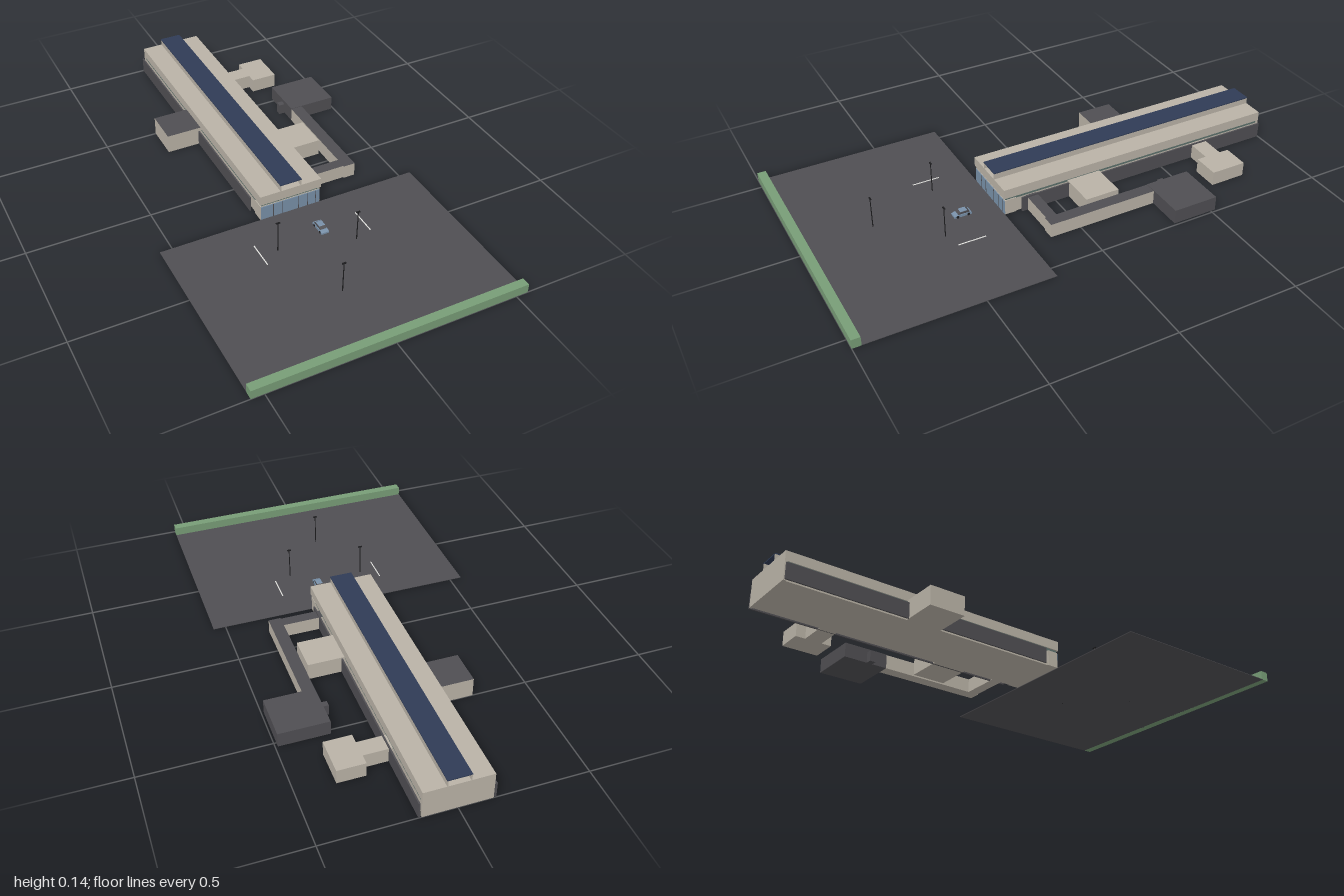
import * as THREE from 'three';

const mat = (name, color, side = THREE.FrontSide) => {
  const m = new THREE.MeshStandardMaterial({ color, side });
  m.name = name;
  return m;
};

export function createModel() {
  const root = new THREE.Group();
  root.name = 'terminalBuilding';
  const stone = mat('warm stone', 0xb9b2a6);
  const dark = mat('dark grey', 0x4f4e52);
  const navy = mat('navy roof', 0x2f3b55);
  const green = mat('hedge green', 0x779c76);
  const glass = mat('blue glass', 0x7890a8);
  const teal = mat('window band', 0x5d716c);
  const black = mat('lamp black', 0x1c1c1e);
  const white = mat('line white', 0xe4e4e0);

  // Box given by its limits; top may carry its own material
  const box = (name, x0, x1, y0, y1, z0, z1, m, top) => {
    const geo = new THREE.BoxGeometry(x1 - x0, y1 - y0, z1 - z0);
    const mesh = new THREE.Mesh(geo, top ? [m, m, top, m, m, m] : m);
    mesh.position.set((x0 + x1) / 2, (y0 + y1) / 2, (z0 + z1) / 2);
    mesh.name = name;
    root.add(mesh);
    return mesh;
  };

  // Forecourt
  box('carPark', -0.55, 0.55, 0, 0.002, 0.22, 0.97, dark);
  box('hedge', -0.55, 0.55, 0, 0.038, 0.965, 1, green);
  for (const s of [-1, 1]) box('parkingLine', s * 0.22 - 0.002, s * 0.22 + 0.002, 0.002, 0.004, 0.345, 0.46, white);

  // Long hall
  box('hallBase', -0.126, 0.126, 0, 0.075, -0.998, 0.17, stone);
  box('entranceBlock', -0.13, 0.13, 0, 0.065, 0.17, 0.217, stone);
  box('upperHall', -0.132, 0.132, 0.075, 0.115, -1, 0.222, stone);
  box('entranceSoffit', -0.126, 0.126, 0.065, 0.075, 0.17, 0.215, teal);
  box('rearWall', -0.132, 0.132, 0, 0.075, -1, -0.99, stone);
  box('entranceGlass', -0.128, 0.128, 0.002, 0.062, 0.217, 0.22, glass);
  for (const x of [-0.075, -0.035, 0.035, 0.075, 0.11])
    box('mullion', x - 0.001, x + 0.001, 0.002, 0.062, 0.22, 0.2215, dark);

  for (const s of [-1, 1]) {
    const side = (name, a, b, ...rest) => box(name, Math.min(s * a, s * b), Math.max(s * a, s * b), ...rest);
    side('sideScreen', 0.137, 0.143, 0, 0.065, -0.998, 0.15, dark);
    side('windowBand', 0.126, 0.129, 0.064, 0.075, -0.99, 0.17, teal);
    side('roofLightWall', 0.042, 0.045, 0.115, 0.141, -1, 0.222, stone);
  }
  box('roofLightTop', -0.046, 0.046, 0.14, 0.144, -1, 0.222, navy);

  // Side wings
  box('leftWing', -0.28, -0.126, 0, 0.08, -0.5, -0.35, stone, dark);
  box('nearWing', 0.126, 0.278, 0, 0.07, -0.205, -0.06, stone);
  box('rearLink', 0.126, 0.24, 0, 0.06, -0.72, -0.65, stone);
  box('rearWing', 0.24, 0.35, 0, 0.06, -0.76, -0.61, stone);

  // Bent corridor leading to the annex
  box('corridorLink', 0.126, 0.29, 0, 0.058, 0.08, 0.125, stone, dark);
  box('corridor', 0.29, 0.34, 0, 0.058, -0.33, 0.13, stone, dark);
  box('annex', 0.29, 0.49, 0, 0.06, -0.52, -0.33, dark);
  box('serviceTank', 0.265, 0.29, 0, 0.045, -0.42, -0.395, dark);

  // Street lamps
  for (const [x, z] of [[-0.15, 0.405], [0.147, 0.48], [-0.04, 0.7]]) {
    const pole = new THREE.Mesh(new THREE.CylinderGeometry(0.0018, 0.0022, 0.134, 8), black);
    pole.position.set(x, 0.067, z);
    pole.name = 'lampPole';
    root.add(pole);
    box('lampHead', x - 0.008, x + 0.008, 0.132, 0.136, z - 0.003, z + 0.003, black);
  }

  // Parked car: side profiles extruded across its width
  const profile = (name, pts, w, m) => {
    const shape = new THREE.Shape(pts.map(([z, y]) => new THREE.Vector2(z, y)));
    const geo = new THREE.ExtrudeGeometry(shape, { depth: w, bevelEnabled: false });
    geo.translate(0, 0, -w / 2).rotateY(-Math.PI / 2);
    const mesh = new THREE.Mesh(geo, m);
    mesh.position.set(0.053, 0.002, 0.369);
    mesh.name = name;
    root.add(mesh);
  };
  profile('carBody', [[-0.037, 0.003], [0.037, 0.003], [0.037, 0.01], [0.022, 0.014], [-0.034, 0.014], [-0.037, 0.01]], 0.032, glass);
  profile('carCabin', [[-0.03, 0.014], [0.02, 0.014], [0.01, 0.023], [-0.02, 0.023]], 0.027, dark);
  profile('carRoof', [[-0.02, 0.023], [0.01, 0.023], [0.008, 0.0245], [-0.018, 0.0245]], 0.025, glass);
  for (const dx of [-0.014, 0.014]) for (const dz of [-0.023, 0.023]) {
    const wheel = new THREE.Mesh(new THREE.CylinderGeometry(0.006, 0.006, 0.005, 12).rotateZ(Math.PI / 2), black);
    wheel.position.set(0.053 + dx, 0.008, 0.369 + dz);
    wheel.name = 'carWheel';
    root.add(wheel);
  }
  return root;
}
